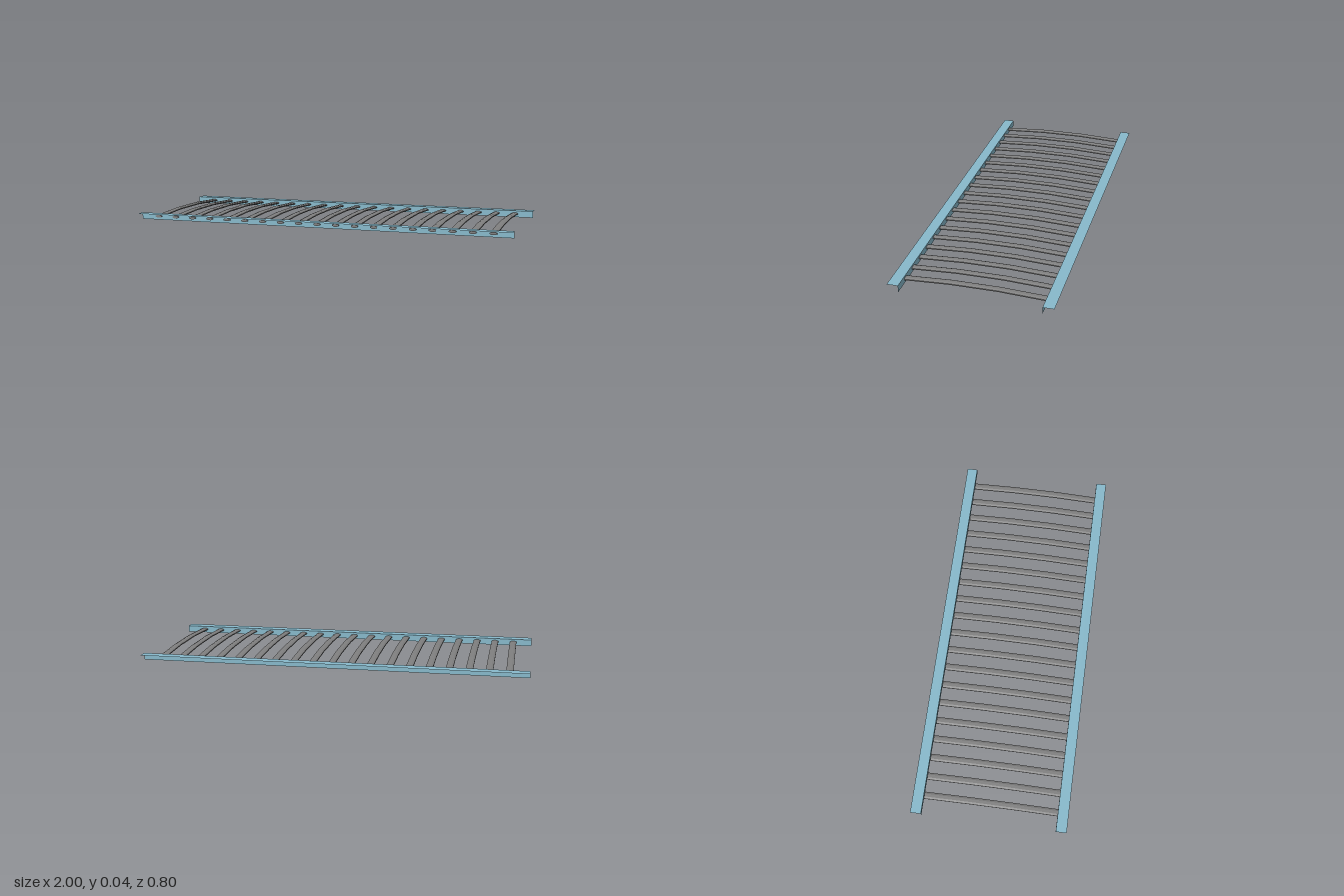
import * as THREE from 'three';

const blue = new THREE.MeshStandardMaterial({ color: 0x87b9cb, side: THREE.DoubleSide });
const grey = new THREE.MeshStandardMaterial({ color: 0x808080 });

// Flattened octagonal bar along z, its ends drooping from a level middle
function slatGeometry() {
  const length = 0.695, steps = 12;
  const section = new THREE.Shape();
  for (let i = 0; i < 8; i++) {
    const a = (i + 0.5) * Math.PI / 4, r = 1 / Math.cos(Math.PI / 8);
    const x = 0.018 * r * Math.cos(a), y = 0.0067 * r * Math.sin(a);
    if (i === 0) section.moveTo(x, y); else section.lineTo(x, y);
  }
  section.closePath();
  const geo = new THREE.ExtrudeGeometry(section, { depth: length, steps, bevelEnabled: false });
  geo.translate(0, 0.03, -length / 2);
  const p = geo.attributes.position;
  for (let i = 0; i < p.count; i++) {
    const droop = Math.max(0, Math.abs(p.getZ(i)) - 0.116) * 0.05;
    p.setY(i, p.getY(i) - droop);
  }
  geo.translate(0, 0, 0.0045);
  geo.computeVertexNormals();
  return geo;
}

// Thin angle rail: upright inner web and a top flange pointing outward
function makeRail(name, side) {
  const rail = new THREE.Group();
  rail.name = name;
  const web = new THREE.Mesh(new THREE.PlaneGeometry(2, 0.035), blue);
  web.name = name + 'Web';
  web.position.set(0, 0.0175, side * 0.345);
  const flange = new THREE.Mesh(new THREE.PlaneGeometry(2, 0.055).rotateX(-Math.PI / 2), blue);
  flange.name = name + 'Flange';
  flange.position.set(0, 0.035, side * 0.3725);
  rail.add(web, flange);
  return rail;
}

export function createModel() {
  const model = new THREE.Group();
  model.name = 'slattedFrame';
  model.add(makeRail('frontRail', 1), makeRail('backRail', -1));

  // Evenly spaced slats between the rails
  const geo = slatGeometry();
  const slats = new THREE.Group();
  slats.name = 'slats';
  for (let i = -9; i <= 9; i++) {
    const slat = new THREE.Mesh(geo, grey);
    slat.name = 'slat' + (i + 10);
    slat.position.x = i * 0.1;
    slats.add(slat);
  }
  model.add(slats);
  return model;
}
